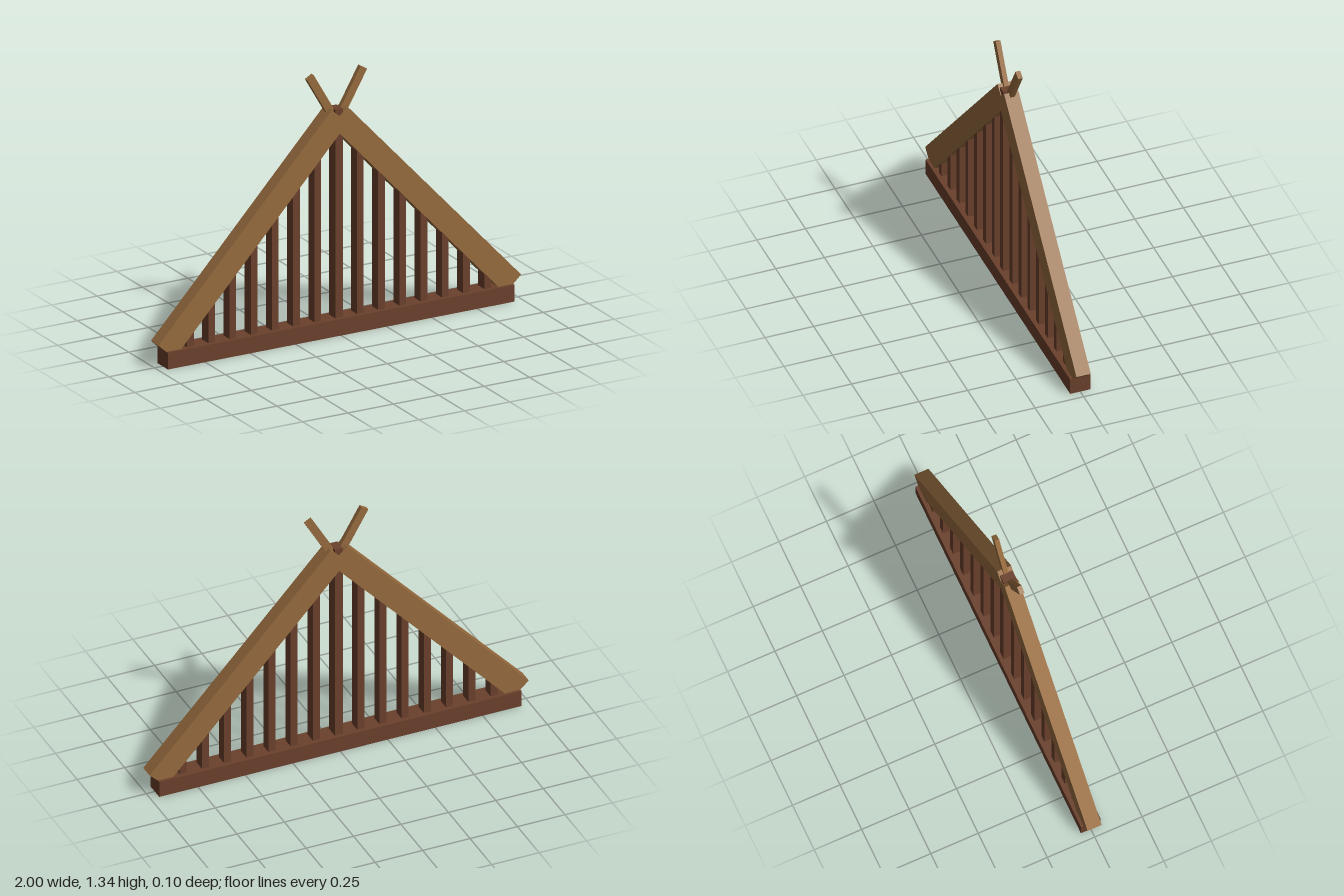
import * as THREE from 'three';

export function createModel() {
  const group = new THREE.Group();
  const darkWood = new THREE.MeshStandardMaterial({ color: 0x6a402c });
  darkWood.name = 'darkWood';
  const lightWood = new THREE.MeshStandardMaterial({ color: 0x966b3e });
  lightWood.name = 'lightWood';

  // Square-ended timber running between two points in the xy plane
  function beam(name, [x0, y0], [x1, y1], thickness, depth, material) {
    const length = Math.hypot(x1 - x0, y1 - y0);
    const mesh = new THREE.Mesh(new THREE.BoxGeometry(length, thickness, depth), material);
    mesh.position.set((x0 + x1) / 2, (y0 + y1) / 2, 0);
    mesh.rotation.z = Math.atan2(y1 - y0, x1 - x0);
    mesh.name = name;
    group.add(mesh);
  }

  const footX = 0.955, footY = 0.085, apexY = 1.115;

  // Tie beam along the ground
  beam('tieBeam', [-footX, footY / 2], [footX, footY / 2], footY, 0.104, darkWood);

  // Centre post, poking through the notch at the apex
  beam('kingPost', [0, footY], [0, 1.15], 0.042, 0.066, darkWood);

  for (const side of [-1, 1]) {
    const label = side > 0 ? 'left' : 'right';

    // Sloping rafter
    beam(label + 'Rafter', [side * footX, footY], [0, apexY], 0.12, 0.074, lightWood);

    // Crossed finial horn, leaning out at 60 degrees
    const tip = [0.147, 1.331], length = 0.25, angle = Math.PI / 3;
    beam(label + 'Horn',
      [side * (tip[0] - length * Math.cos(angle)), tip[1] - length * Math.sin(angle)],
      [side * tip[0], tip[1]], 0.041, 0.024, lightWood);

    // Slats rising to the middle of the rafter
    for (let i = 1; i <= 7; i++) {
      const x = i * 0.117;
      const top = apexY - (apexY - footY) * x / footX;
      beam(label + 'Slat' + i, [side * x, footY], [side * x, top], 0.037, 0.06, darkWood);
    }
  }
  return group;
}
